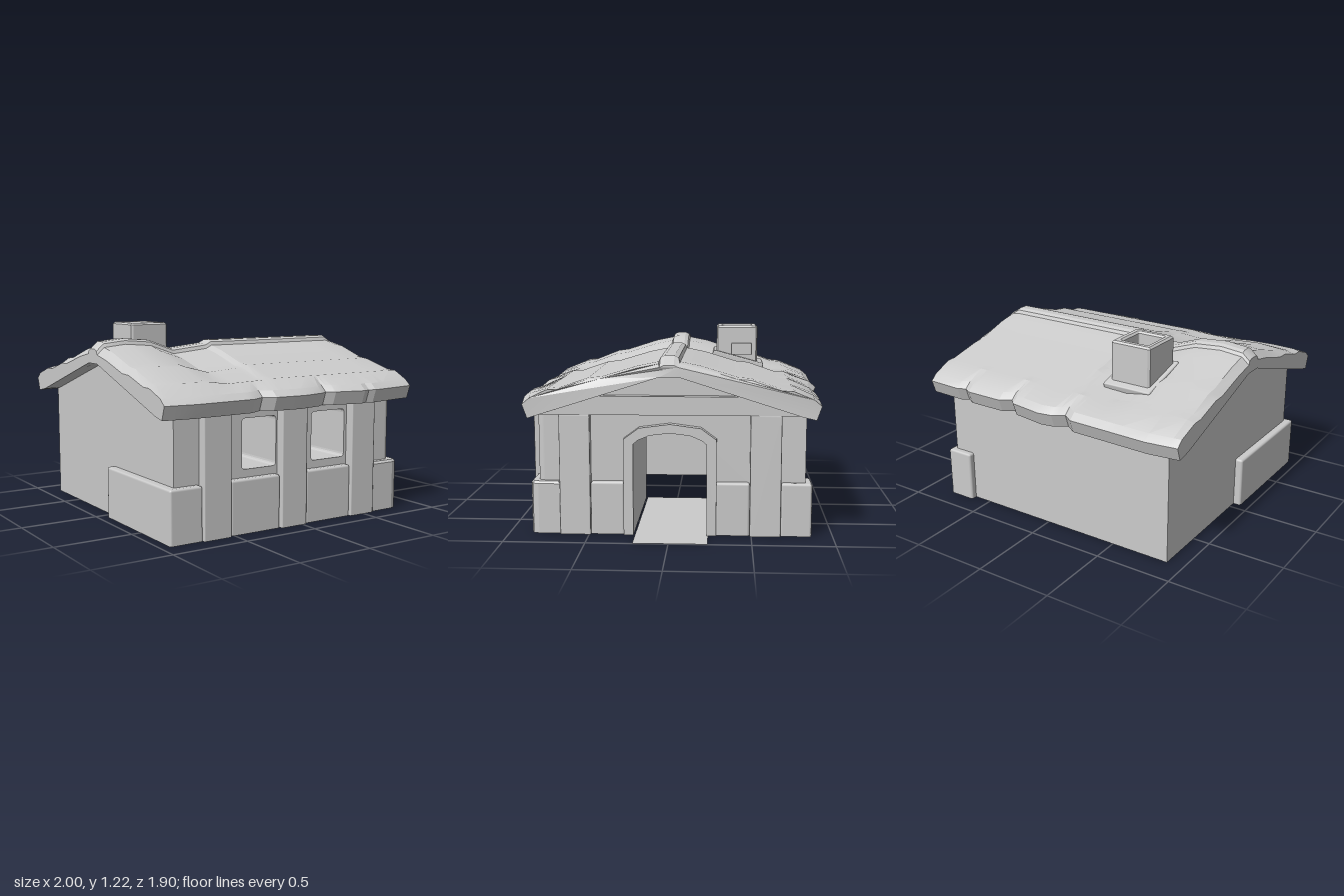
import * as THREE from 'three';
import { toCreasedNormals } from 'three/addons/utils/BufferGeometryUtils.js';
import { RoundedBoxGeometry } from 'three/addons/geometries/RoundedBoxGeometry.js';

const mat = new THREE.MeshStandardMaterial({ color: 0xcccccc, side: THREE.DoubleSide });

function add(group, name, geometry) {
  const mesh = new THREE.Mesh(geometry, mat);
  mesh.name = name;
  group.add(mesh);
  return mesh;
}

// Flattens everything below a level, so a bevelled part stands squarely on it
function flattenFoot(g, level) {
  const p = g.attributes.position;
  for (let i = 0; i < p.count; i++) p.setY(i, Math.max(level, p.getY(i)));
  return g;
}

// Softly bevelled block given by its extents
function block(group, name, x0, x1, y0, y1, z0, z1, r = 0.015) {
  const g = new RoundedBoxGeometry(x1 - x0, y1 - y0 + 2 * r, z1 - z0, 1, r);
  g.translate((x0 + x1) / 2, (y0 + y1) / 2 - r, (z0 + z1) / 2);
  return add(group, name, flattenFoot(g, y0));
}

const outline = (pts) => new THREE.Shape(pts.map(([x, y]) => new THREE.Vector2(x, y)));
const extrude = (shape, depth) => new THREE.ExtrudeGeometry(shape, { depth, bevelEnabled: false, curveSegments: 4 });

// Extrusion along x, the outline drawn in (-z, y)
const extrudeX = (shape, depth, x) => extrude(shape, depth).rotateY(Math.PI / 2).translate(x, 0, 0);

function roundedRect(x0, x1, y0, y1, r, p = new THREE.Path()) {
  p.moveTo(x0 + r, y0);
  p.lineTo(x1 - r, y0).quadraticCurveTo(x1, y0, x1, y0 + r);
  p.lineTo(x1, y1 - r).quadraticCurveTo(x1, y1, x1 - r, y1);
  p.lineTo(x0 + r, y1).quadraticCurveTo(x0, y1, x0, y1 - r);
  p.lineTo(x0, y0 + r).quadraticCurveTo(x0, y0, x0 + r, y0);
  return p;
}

// Piecewise linear lookup through [x, value] pairs
function lerp(table, x) {
  if (x <= table[0][0]) return table[0][1];
  for (let i = 1; i < table.length; i++) {
    const [a, va] = table[i - 1], [b, vb] = table[i];
    if (x <= b) return va + (vb - va) * (x - a) / (b - a);
  }
  return table[table.length - 1][1];
}

const frontEave = [[-1, .915], [-.8, .94], [-.4, .925], [-.31, .875], [-.24, .925], [-.04, .94], [.12, .905],
  [.18, .865], [.23, .905], [.43, .95], [.48, .93], [.52, .95], [.87, .89]];
const backEave = [[-1, .93], [-.8, .955], [-.27, .94], [-.2, .89], [-.13, .94], [-.04, .955], [.18, .92],
  [.22, .88], [.29, .925], [.54, .925], [.59, .895], [.64, .92], [.87, .91]];
const ridgeLift = [[-1, -.03], [-.95, .015], [-.8, .03], [-.62, .015], [-.45, -.045], [-.2, -.02], [-.16, 0],
  [.82, 0], [.87, -.05]];
const raggedEnd = [[-.91, .875], [-.68, .885], [-.52, .86], [-.3, .87], [-.064, .87], [-.061, .9], [.061, .9],
  [.064, .87], [.3, .88], [.48, .85], [.68, .88], [.9, .875]];

// Half of the roof's top profile from eave to ridge, as [z, y]
function halfTop(e, x) {
  const pts = [[e - .03, .735], [e, .82], [e - .045, .858]];
  for (const [z, bump] of [[.74, .014], [.67, 0], [.49, .014], [.41, 0], [.19, .008], [.065, 0]])
    pts.push([z, .858 + (.89 - z) * .266 + bump]);
  pts.push([.055, 1.1], [.03, 1.112]);
  return pts.map(([z, y], i) => {
    const w = i < 3 ? 0 : Math.min(1, 1.6 * (1 - z / .9));
    const endDrop = x > .8 && z > .06 ? 0.2 : 1;
    return [z, y + lerp(ridgeLift, x) * w * endDrop];
  });
}

// Sagging thick roof lofted along x
function roofGeometry() {
  const xs = [-1, -.95, -.8, -.62, -.53, -.45, -.4, -.31, -.27, -.24, -.2, -.16, -.13, -.04, .12, .18, .2, .22, .23,
    .29, .43, .48, .52, .54, .59, .64, .82, .87];
  const last = xs.length - 1;
  const sections = xs.map((x, i) => {
    const front = halfTop(lerp(frontEave, x), x);
    const back = halfTop(lerp(backEave, x), x).reverse().map(([z, y]) => [-z, y]);
    const loop = [...front, ...back, [-.8, .754], [-.06, .99], [.06, .99], [.8, .754]];
    return loop.map(([z, y]) => new THREE.Vector3(i === last ? lerp(raggedEnd, z) : x, y, z));
  });
  const n = sections[0].length, pos = [];
  const tri = (...v) => v.forEach((p) => pos.push(p.x, p.y, p.z));
  for (let i = 0; i < last; i++)
    for (let j = 0; j < n; j++) {
      const k = (j + 1) % n, A = sections[i], B = sections[i + 1];
      tri(A[j], B[j], B[k]);
      tri(A[j], B[k], A[k]);
    }
  for (const s of [sections[0], sections[last]]) {
    const flat = s.map((p) => new THREE.Vector2(p.z, p.y));
    for (const [a, b, c] of THREE.ShapeUtils.triangulateShape(flat, []))
      s === sections[0] ? tri(s[a], s[b], s[c]) : tri(s[a], s[c], s[b]);
  }
  const g = new THREE.BufferGeometry();
  g.setAttribute('position', new THREE.Float32BufferAttribute(pos, 3));
  return toCreasedNormals(g, 0.35);
}

export function createModel() {
  const house = new THREE.Group();
  house.name = 'cottage';

  // Front wall with two deep window openings, ending in a round corner post
  const front = outline([[-.89, 0], [.72, 0], [.72, .77], [-.89, .77]]);
  for (const [x0, x1] of [[-.42, -.17], [.105, .37]]) {
    front.holes.push(roundedRect(x0, x1, .385, .695, .025));
    const lining = roundedRect(x0 - .01, x1 + .01, .375, .705, .03, new THREE.Shape());
    lining.holes.push(roundedRect(x0, x1, .385, .695, .025));
    add(house, 'windowLining', extrude(lining, .55).translate(0, 0, .25));
  }
  add(house, 'frontWall', extrude(front, .02).translate(0, 0, .8));
  add(house, 'cornerPost', new THREE.CylinderGeometry(.045, .045, .75, 16).translate(.72, .375, .775));
  const back = outline([[-.89, 0], [.765, 0], [.765, .76], [-.89, .76]]);
  add(house, 'backWall', extrude(back, .02).translate(0, 0, -.83));

  // Gable walls, the right one with an arched doorway
  const gableTop = [[.83, 0], [.83, .76], [.06, .995], [-.06, .995]];
  add(house, 'leftGable', extrudeX(outline([[-.82, 0], ...gableTop, [-.82, .76]]), .02, -.89));
  const arch = [[-.225, 0], [-.225, .57], [-.195, .595], [-.125, .625], [0, .64], [.125, .625], [.195, .595], [.225, .57], [.225, 0]];
  const doorGable = outline([[-.775, 0], ...arch, ...gableTop, [-.775, .775]]);
  add(house, 'doorGable', extrudeX(doorGable, .02, .745));

  // Door surround, vaulted passage behind it, tie beam and threshold
  const surround = outline([...arch, [.285, 0], [.285, .6], [.19, .67], [0, .695], [-.19, .67], [-.285, .6], [-.285, 0]]);
  add(house, 'doorSurround', extrudeX(surround, .08, .74));
  const vault = arch.map(([z, y]) => [z * 1.04, y * 1.015]).reverse();
  add(house, 'doorPassage', extrudeX(outline([...arch, ...vault]), .88, -.13));
  const beam = outline([[-.82, .75], [.82, .75], [.48, .865], [-.48, .865]]);
  add(house, 'tieBeam', extrudeX(beam, .075, .745));
  const step = new THREE.PlaneGeometry(1.13, .45).rotateX(-Math.PI / 2).translate(.435, .002, -.01);
  add(house, 'threshold', step);

  // Pilasters on the front and on the door side
  for (const x of [-.625, -.065, .485])
    block(house, 'frontPilaster', x - .095, x + .095, 0, .77, .78, .88, .008);
  for (const s of [-1, 1])
    block(house, 'sidePilaster', .74, .82, 0, .752, s * .585 - .095, s * .585 + .095, .008);

  // Plinth blocks between the pilasters and round the corners
  block(house, 'plinth', -.525, -.165, 0, .335, .78, .865);
  block(house, 'plinth', .035, .39, 0, .335, .78, .865);
  block(house, 'cornerPlinth', .62, .805, 0, .33, -.87, -.68);
  block(house, 'cornerPlinth', -.94, -.72, 0, .33, .78, .865);
  block(house, 'leftPlinth', -.94, -.87, 0, .33, .05, .865);
  for (const s of [-1, 1])
    block(house, 'sidePlinth', .73, .805, 0, .33, s * .385 - .105, s * .385 + .105);

  // Chamfered plinth at the door-side front corner, its plan drawn in (x, -z)
  const corner = outline([[.58, -.865], [.755, -.865], [.793, -.85], [.805, -.815], [.805, -.68], [.58, -.68]]);
  const cornerPlinth = new THREE.ExtrudeGeometry(corner, {
    depth: .33, bevelThickness: .015, bevelSize: .012, bevelOffset: -.012, bevelSegments: 1 });
  add(house, 'cornerPlinth', flattenFoot(cornerPlinth.rotateX(-Math.PI / 2).translate(0, -.015, 0), 0));

  add(house, 'roof', roofGeometry());

  // Hollow chimney with flashing and a raised stone
  const flue = outline([[-.585, .28], [-.57, .27], [-.325, .27], [-.31, .28], [-.31, .55], [-.325, .56], [-.57, .56], [-.585, .55]]);
  flue.holes.push(roundedRect(-.54, -.36, .32, .51, .01));
  const chimney = new THREE.ExtrudeGeometry(flue, { depth: .3, bevelThickness: .012, bevelSize: .012, bevelOffset: -.012, bevelSegments: 1 });
  add(house, 'chimney', chimney.rotateX(-Math.PI / 2).translate(0, .91, 0));
  const flashing = new RoundedBoxGeometry(.335, .06, .37, 1, .01).rotateX(-.265).translate(-.447, .975, -.42);
  add(house, 'flashing', flashing);
  block(house, 'chimneyStone', -.32, -.288, 1.02, 1.1, -.52, -.375, .008);

  return house;
}
